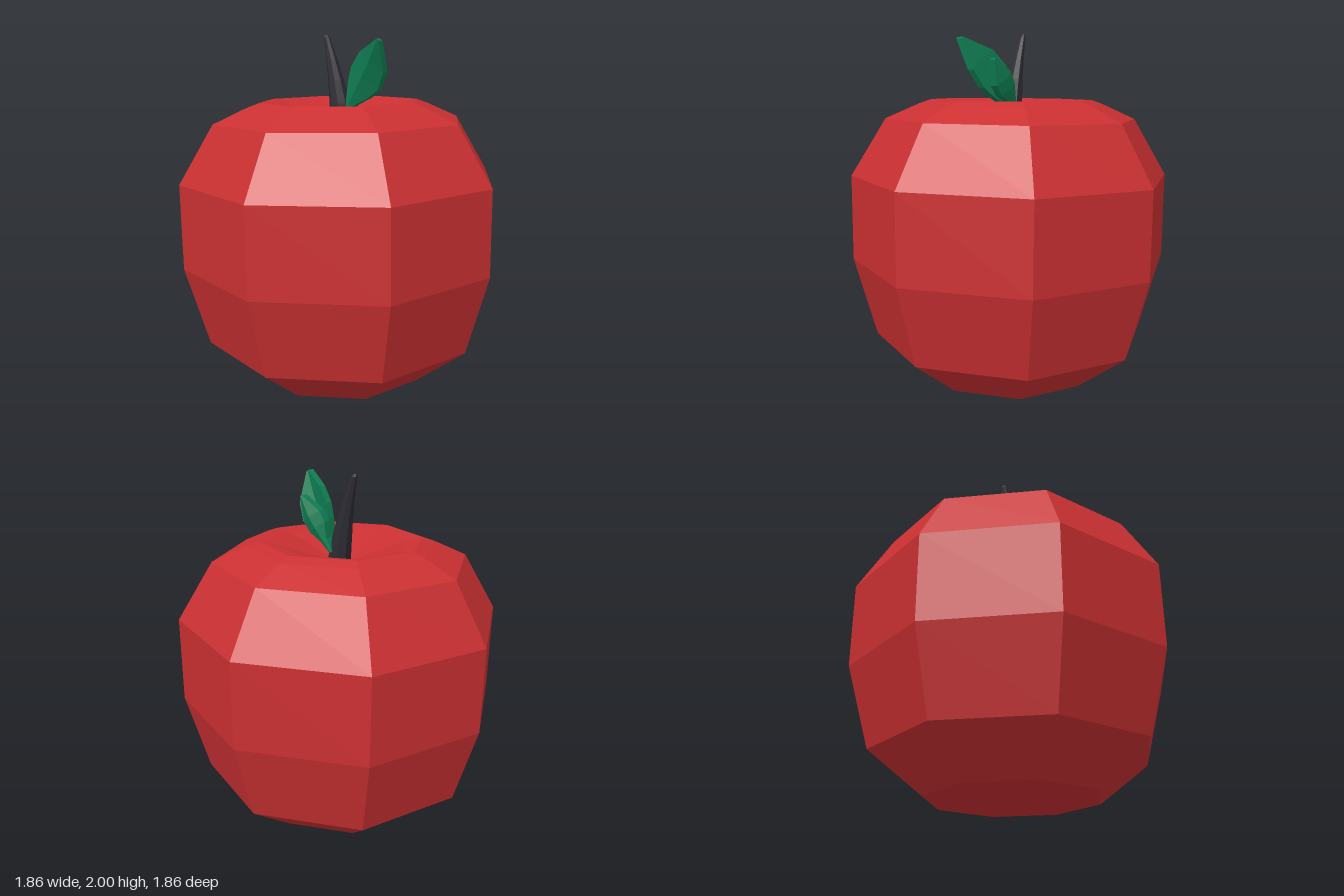
import * as THREE from 'three';

const red = new THREE.MeshStandardMaterial({ color: 0xcb3032 });
red.name = 'apple red';
const charcoal = new THREE.MeshStandardMaterial({ color: 0x2a2a31 });
charcoal.name = 'stem charcoal';
const green = new THREE.MeshStandardMaterial({ color: 0x0f7d53 });
green.name = 'leaf green';

// Faceted mesh: every face gets its own flat normal
function faceted(geometry, material, name) {
  const flat = geometry.index ? geometry.toNonIndexed() : geometry;
  flat.computeVertexNormals();
  const mesh = new THREE.Mesh(flat, material);
  mesh.name = name;
  return mesh;
}

// Closed solid through rings of points, each counter-clockwise about the travel direction
function loft(rings) {
  const n = rings[0].length;
  const index = [];
  for (let r = 0; r < rings.length - 1; r++) {
    for (let i = 0; i < n; i++) {
      const a = r * n + i, b = r * n + (i + 1) % n;
      index.push(a, b, b + n, a, b + n, a + n);
    }
  }
  const last = (rings.length - 1) * n;
  for (let i = 1; i < n - 1; i++) {
    index.push(0, i + 1, i);
    index.push(last, last + i, last + i + 1);
  }
  const geometry = new THREE.BufferGeometry();
  geometry.setAttribute('position', new THREE.Float32BufferAttribute(rings.flat(2), 3));
  geometry.setIndex(index);
  return geometry;
}

// Eight-sided fruit with a flat base and a dimpled top, very slightly tilted
function makeFruit() {
  const profile = [
    [0, 0.008], [0.5, 0.008], [0.8, 0.24], [0.93, 0.7], [0.93, 1.19],
    [0.73, 1.52], [0.54, 1.605], [0.47, 1.63], [0.385, 1.615], [0, 1.49],
  ].map(([r, y]) => new THREE.Vector2(r, y));
  const fruit = faceted(new THREE.LatheGeometry(profile, 8, 0.064), red, 'fruit');
  fruit.rotation.z = 0.0135;
  return fruit;
}

// Tapering stem that bends towards -x
function makeStem() {
  const rings = [
    [0, 1.48, 0.07], [-0.02, 1.62, 0.06], [-0.045, 1.75, 0.046],
    [-0.075, 1.87, 0.032], [-0.108, 1.985, 0.019], [-0.113, 2.0, 0.01],
  ].map(([x, y, radius]) => Array.from({ length: 8 }, (_, i) => {
    const a = (i + 0.5) * Math.PI / 4;
    return [x + radius * Math.cos(a), y, -radius * Math.sin(a)];
  }));
  return faceted(loft(rings), charcoal, 'stem');
}

// Thick leaf with a raised midrib, growing along +y and curling along z
// stations: [distance, half width, curl]
function makeLeaf(stations, thickness, fold, name) {
  const h = thickness / 2;
  const rings = stations.map(([y, w, z]) => {
    const edge = z - fold * w;
    return [
      [0, y, z + h], [w, y, edge + h], [w, y, edge - h],
      [0, y, z - h], [-w, y, edge - h], [-w, y, edge + h],
    ];
  });
  return faceted(loft(rings), green, name);
}

export function createModel() {
  const model = new THREE.Group();
  model.name = 'apple';
  model.add(makeFruit(), makeStem());

  const frontLeaf = makeLeaf([
    [-0.06, 0.012, 0], [0.02, 0.025, 0], [0.12, 0.08, 0.015], [0.2, 0.108, 0.03],
    [0.31, 0.095, 0.055], [0.455, 0.008, 0.1],
  ], 0.045, 0.35, 'frontLeaf');
  frontLeaf.position.set(0.04, 1.6, 0);
  frontLeaf.rotation.z = -0.61;

  const backLeaf = makeLeaf([
    [-0.06, 0.01, 0.03], [0.02, 0.025, 0.015], [0.1, 0.065, 0], [0.17, 0.07, -0.005],
    [0.3, 0.008, 0.01],
  ], 0.045, -0.35, 'backLeaf');
  backLeaf.position.set(0.04, 1.61, -0.075);
  backLeaf.rotation.z = -0.6;

  model.add(frontLeaf, backLeaf);
  return model;
}
